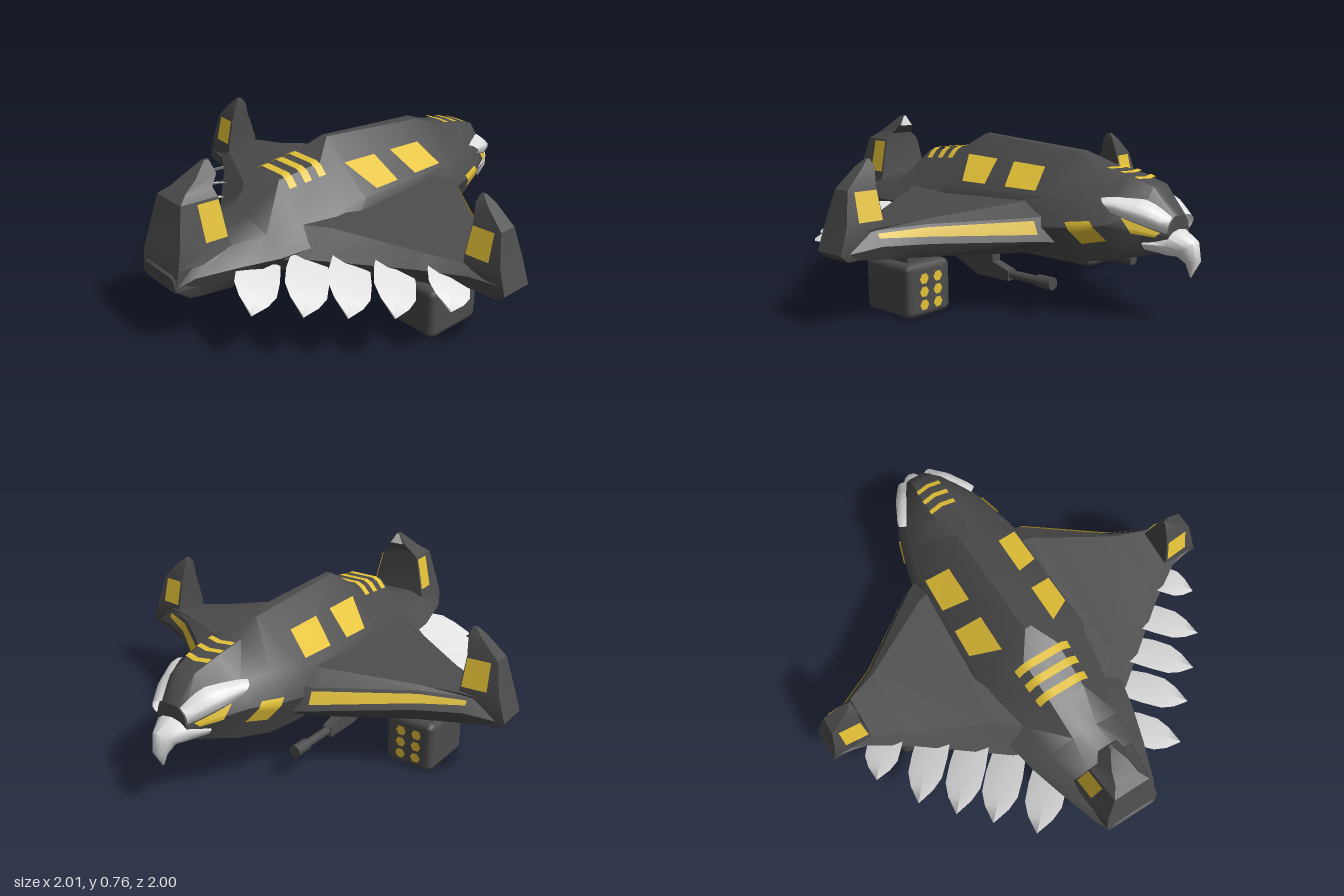
import * as THREE from 'three';
import { toCreasedNormals } from 'three/addons/utils/BufferGeometryUtils.js';
import { RoundedBoxGeometry } from 'three/addons/geometries/RoundedBoxGeometry.js';

const mat = (name, color, side = THREE.FrontSide) => {
  const m = new THREE.MeshStandardMaterial({ color, side });
  m.name = name;
  return m;
};
const dark = mat('charcoal hull', 0x4c4c4c);
const yellow = mat('yellow trim', 0xe3c136, THREE.DoubleSide);
const white = mat('white feather', 0xe0e0e0, THREE.DoubleSide);

const lerp = (a, b, k) => a + (b - a) * k;

// Body sections along x: x, ridge y, ridge half width, shoulder z y, waist z y, belly z y
const SECTIONS = [
  [-1.0, 0.36, 0.09, 0.11, 0.35, 0.12, 0.32, 0.09, 0.30],
  [-0.93, 0.42, 0.10, 0.13, 0.41, 0.16, 0.36, 0.11, 0.25],
  [-0.76, 0.46, 0.08, 0.15, 0.44, 0.22, 0.37, 0.16, 0.26],
  [-0.60, 0.48, 0.06, 0.18, 0.44, 0.27, 0.37, 0.20, 0.31],
  [-0.45, 0.61, 0.08, 0.20, 0.46, 0.30, 0.38, 0.22, 0.29],
  [-0.23, 0.63, 0.085, 0.24, 0.47, 0.30, 0.38, 0.25, 0.255],
  [-0.13, 0.705, 0.015, 0.27, 0.49, 0.30, 0.38, 0.25, 0.24],
  [0.43, 0.66, 0.03, 0.25, 0.49, 0.29, 0.37, 0.22, 0.23],
  [0.56, 0.61, 0.06, 0.21, 0.50, 0.26, 0.38, 0.20, 0.23],
  [0.70, 0.585, 0.06, 0.175, 0.49, 0.215, 0.40, 0.15, 0.25],
  [0.82, 0.55, 0.05, 0.125, 0.455, 0.145, 0.38, 0.09, 0.28],
  [0.91, 0.44, 0.035, 0.07, 0.41, 0.08, 0.36, 0.05, 0.30],
];
const half = (s) => [[0, s[1]], [s[2], s[1]], [s[3], s[4]], [s[5], s[6]], [s[7], s[8]]];

// Closed skin through rings of points, capped at both ends and turned outwards
function loft(rings, crease = 0.5) {
  const n = rings[0].length, pos = rings.flat(2), idx = [];
  for (let r = 0; r < rings.length - 1; r++) for (let i = 0; i < n; i++) {
    const j = (i + 1) % n, a = r * n + i, b = r * n + j;
    idx.push(a, b, a + n, b, b + n, a + n);
  }
  const end = (rings.length - 1) * n;
  for (let i = 1; i < n - 1; i++) idx.push(0, i + 1, i, end, end + i, end + i + 1);
  let volume = 0;
  const v = (i) => new THREE.Vector3().fromArray(pos, idx[i] * 3);
  for (let i = 0; i < idx.length; i += 3) volume += v(i).dot(v(i + 1).cross(v(i + 2)));
  if (volume < 0) idx.reverse();
  const g = new THREE.BufferGeometry();
  g.setAttribute('position', new THREE.Float32BufferAttribute(pos, 3));
  g.setIndex(idx);
  return toCreasedNormals(g, crease);
}

// Open sheet from a function of (u, v)
function sheet(fn, nu = 1, nv = 1) {
  const pos = [], idx = [];
  for (let i = 0; i <= nu; i++) for (let j = 0; j <= nv; j++) pos.push(...fn(i / nu, j / nv));
  for (let i = 0; i < nu; i++) for (let j = 0; j < nv; j++) {
    const a = i * (nv + 1) + j, b = a + nv + 1;
    idx.push(a, b, a + 1, b, b + 1, a + 1);
  }
  const g = new THREE.BufferGeometry();
  g.setAttribute('position', new THREE.Float32BufferAttribute(pos, 3));
  g.setIndex(idx);
  g.computeVertexNormals();
  return g;
}

// Point on the body: t runs from ridge centre (0) through shoulder (2) and waist (3) to belly (4)
function skin(x, t) {
  let k = 0;
  while (k < SECTIONS.length - 2 && x > SECTIONS[k + 1][0]) k++;
  const A = SECTIONS[k], B = SECTIONS[k + 1], f = (x - A[0]) / (B[0] - A[0]);
  const p = half(A.map((a, i) => lerp(a, B[i], f))), i = Math.min(3, Math.floor(t));
  return new THREE.Vector3(x, lerp(p[i][1], p[i + 1][1], t - i), lerp(p[i][0], p[i + 1][0], t - i));
}

// Sheet laid on the body between four (x, t) corners
function decal(corners, side, lift = 0.008, bulge = 0) {
  const [a, b, c, d] = corners;
  return sheet((u, v) => {
    const x = lerp(lerp(a[0], b[0], u), lerp(d[0], c[0], u), v);
    const t = lerp(lerp(a[1], b[1], u), lerp(d[1], c[1], u), v);
    const p = skin(x, t);
    const n = skin(x + 0.01, t).sub(skin(x - 0.01, t)).cross(skin(x, t + 0.01).sub(skin(x, Math.max(0, t - 0.01)))).normalize();
    if (n.y * (p.y - 0.36) + n.z * p.z < 0) n.negate();
    p.addScaledVector(n, lift + bulge * Math.sin(Math.PI * v));
    return [p.x, p.y, p.z * side];
  }, 8, 6);
}

// Upturned fin rings: y, inner u, outer u, inner half width, outer half width
const WING_FIN = [
  [0.28, 0.82, 0.965, 0.08, 0.07], [0.31, 0.80, 1.0, 0.09, 0.075], [0.42, 0.80, 0.965, 0.085, 0.07],
  [0.55, 0.805, 0.935, 0.05, 0.04], [0.63, 0.795, 0.85, 0.03, 0.025], [0.66, 0.80, 0.815, 0.008, 0.008],
];
const TAIL_FIN = [
  [0.25, 0.76, 0.90, 0.15, 0.12], [0.31, 0.74, 1.0, 0.19, 0.12], [0.40, 0.74, 0.985, 0.17, 0.13],
  [0.47, 0.755, 0.965, 0.14, 0.12], [0.64, 0.765, 0.925, 0.10, 0.085], [0.67, 0.765, 0.88, 0.065, 0.055],
  [0.71, 0.73, 0.82, 0.045, 0.04], [0.76, 0.74, 0.76, 0.008, 0.008],
];

export function createModel() {
  const model = new THREE.Group();
  const add = (name, geo, material, parent = model) => {
    const m = new THREE.Mesh(geo, material);
    m.name = name;
    parent.add(m);
    return m;
  };

  // Fuselage and head
  add('fuselage', loft(SECTIONS.map((s) => {
    const h = half(s);
    return [...h, ...h.slice(1).reverse().map(([z, y]) => [-z, y])].map(([z, y]) => [s[0], y, z]);
  }), 0.65), dark);

  // Hooked beak: x, y, tilt, half height, half width
  add('beak', loft([
    [0.82, 0.33, 0, 0.045, 0.125], [0.90, 0.33, -0.3, 0.058, 0.09], [0.955, 0.31, -0.8, 0.052, 0.05],
    [0.98, 0.26, -1.3, 0.03, 0.03], [0.97, 0.20, -1.6, 0.003, 0.003],
  ].map(([x, y, tilt, h, w]) => Array.from({ length: 12 }, (_, i) => {
    const a = i * Math.PI / 6, r = h * Math.sin(a);
    return [x - r * Math.sin(tilt), y + r * Math.cos(tilt), w * Math.cos(a)];
  })), 0.9), white);

  // Fin with a yellow panel on both flanks
  const fin = (name, rings, place, row, s0, s1) => {
    add(name, loft(rings.map(([y, a, b, wa, wb]) => [[a, wa], [b, wb], [b, -wb], [a, -wa]].map(([u, w]) => place(u, y, w))), 0.4), dark);
    for (const f of [1, -1]) add(name + 'Panel', sheet((u, v) => {
      const r = rings[row].map((q, i) => lerp(q, rings[row + 1][i], lerp(0.05, 0.95, v)));
      const k = lerp(s0, s1 + 0.1 * v, u);
      return place(lerp(r[1], r[2], k), r[0], f * (lerp(r[3], r[4], k) + 0.006));
    }), yellow);
  };
  const tailPlace = (u, y, w) => [-u, y, w];
  fin('tailFin', TAIL_FIN, tailPlace, 3, 0.02, 0.48);
  add('tailFinTip', sheet((u, v) => {
    const r = TAIL_FIN[6].map((q, i) => lerp(q, TAIL_FIN[7][i], v));
    return tailPlace(r[1] - 0.004, r[0], lerp(-r[3], r[3], u) * 0.8);
  }), white);

  // Wing stations: z, leading x, trailing x, top y, edge low y, edge high y, bottom y
  const stations = [
    [0.20, 0.50, -0.62, 0.47, 0.30, 0.415, 0.25], [0.31, 0.45, -0.50, 0.46, 0.315, 0.41, 0.255],
    [0.66, 0.195, -0.235, 0.415, 0.325, 0.40, 0.265], [0.84, 0.11, -0.12, 0.40, 0.33, 0.39, 0.275],
    [0.97, 0.06, -0.09, 0.37, 0.31, 0.36, 0.285],
  ];

  for (const s of [1, -1]) {
    const side = s > 0 ? 'left' : 'right';
    add(side + 'Wing', loft(stations.map(([z, l, t, y, e0, e1, b]) => {
      const c = l - t;
      return [[l, e0], [l - 0.035, e1], [l - 0.14 * c, y], [t + 0.15 * c, y - 0.02], [t, 0.345], [t + 0.08 * c, b + 0.01], [l - 0.1 * c, b]]
        .map(([x, yy]) => [x, yy, z * s]);
    }), 0.4), dark);
    fin(side + 'WingFin', WING_FIN, (u, y, w) => [w - 0.015, y, s * u], 2, 0.04, 0.7);

    // Yellow stripe along the sloping leading edge: station, low and high fraction
    add(side + 'EdgeStripe', sheet((u, v) => {
      const i = 1 + Math.round(u * 2), [z, l, , , e0, e1] = stations[i];
      const k = v ? [0.86, 0.84, 0.8][i - 1] : [0.28, 0.36, 0.5][i - 1];
      return [l - 0.035 * k + 0.006, lerp(e0, e1, k) + 0.002, s * (z + 0.004)];
    }, 2, 1), yellow);

    // Drooping feathers behind the wing, outer edge rolled down
    [[-0.84, 0.39], [-0.70, 0.53], [-0.58, 0.65], [-0.45, 0.77], [-0.26, 0.88]].forEach(([tx, tz], k) => {
      const len = k === 4 ? 0.24 : 0.32, d = Math.SQRT1_2;
      const rings = [[0, 0.075], [0.35, 0.085], [0.62, 0.082], [0.8, 0.055], [1, 0.002]].map(([f, w]) => {
        const b = (1 - f) * len * d, y = lerp(0.335, 0.265, f * f);
        const at = (o, dy) => [tx + b + o * d, y + dy - 0.45 * o, s * (tz - b + o * d)];
        return [at(w, -0.003), at(0, 0.006), at(-w, -0.003), at(0, -0.006)];
      });
      add(side + 'Feather', loft(rings, 0.9), white);
    });

    // Painted windows, eyes and stripes; raised brow
    add(side + 'RearWindow', decal([[-0.13, 1.44], [0.05, 1.44], [0.085, 1.93], [-0.05, 1.93]], s), yellow);
    add(side + 'FrontWindow', decal([[0.15, 1.44], [0.33, 1.44], [0.37, 1.93], [0.20, 1.93]], s), yellow);
    add(side + 'CheekWindow', decal([[0.54, 2.82], [0.64, 2.8], [0.70, 3.4], [0.60, 3.45]], s), yellow);
    add(side + 'Eye', decal([[0.75, 2.5], [0.885, 2.75], [0.87, 3.05], [0.79, 3.05]], s), yellow);
    add(side + 'Brow', decal([[0.66, 1.92], [0.905, 1.3], [0.905, 2.7], [0.71, 2.4]], s, 0.004, 0.022), white);
    for (const x of [-0.408, -0.33, -0.255])
      add(side + 'RearStripe', decal([[x - 0.018, 0], [x + 0.018, 0], [x + 0.018, 1.28], [x - 0.018, 1.28]], s, 0.01), yellow);
    for (const x of [0.612, 0.678, 0.745])
      add(side + 'HeadStripe', decal([[x, 0], [x + 0.024, 0], [x + 0.012, 1], [x - 0.012, 1]], s), yellow);

    // Launcher pod with dotted front and inner faces
    const pod = new THREE.Group();
    pod.name = side + 'Pod';
    pod.position.set(-0.0275, 0.115, 0.6 * s);
    model.add(pod);
    add('podBox', new RoundedBoxGeometry(0.285, 0.23, 0.23, 1, 0.03), dark, pod);
    add('podPylon', new THREE.BoxGeometry(0.20, 0.10, 0.17), dark, pod).position.y = 0.14;
    for (const y of [0.05, -0.005, -0.06]) for (const o of [0.037, -0.037]) {
      const front = add('podDot', new THREE.CircleGeometry(0.024, 6), yellow, pod);
      front.rotation.y = Math.PI / 2;
      front.position.set(0.145, y, o);
      const inner = add('podDot', new THREE.CircleGeometry(0.024, 6), yellow, pod);
      inner.rotation.y = s > 0 ? Math.PI : 0;
      inner.position.set(o * 1.2, y, -s * 0.1175);
    }

    // Cannon under the wing root
    const mount = new THREE.Shape([[-0.12, 0.26], [-0.1, 0.2], [0.10, 0.12], [0.28, 0.12], [0.28, 0.163], [0.19, 0.19], [0.19, 0.26]]
      .map(([x, y]) => new THREE.Vector2(x, y)));
    const mountGeo = new THREE.ExtrudeGeometry(mount, { depth: 0.045, bevelEnabled: false });
    add(side + 'CannonMount', mountGeo, dark).position.z = 0.288 * s - 0.0225;
    for (const [name, r, x0, x1] of [['Barrel', 0.019, 0.26, 0.45], ['Muzzle', 0.027, 0.43, 0.508]])
      add(side + name, new THREE.CylinderGeometry(r, r, x1 - x0, 12).rotateZ(Math.PI / 2), dark)
        .position.set((x0 + x1) / 2, 0.145, 0.288 * s);
  }
  return model;
}
